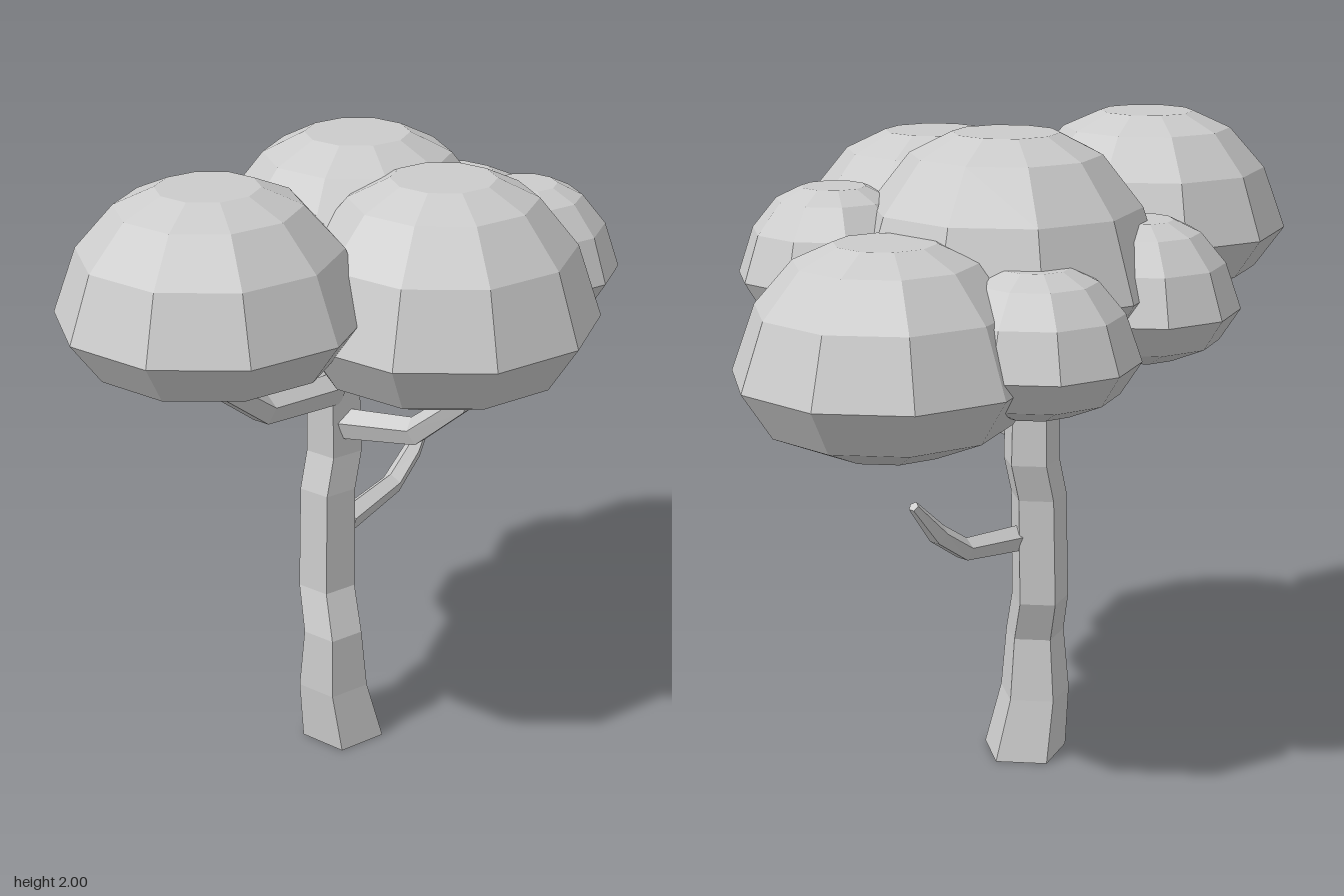
import * as THREE from 'three';

const material = new THREE.MeshStandardMaterial({ color: 0xcccccc, flatShading: true });

// Five-sided tapered limb through stations [x, y, z, radius].
// Level limbs keep every ring horizontal; others turn rings along the path.
function limb(name, stations, level = false) {
  const sides = 5;
  const centres = stations.map(([x, y, z]) => new THREE.Vector3(x, y, z));
  const last = centres.length - 1;
  const positions = [];
  const index = [];
  const ref = level ? new THREE.Vector3(1, 0, 0) : new THREE.Vector3(0, 1, 0);
  centres.forEach((c, i) => {
    const t = level
      ? new THREE.Vector3(0, 1, 0)
      : centres[Math.min(i + 1, last)].clone().sub(centres[Math.max(i - 1, 0)]).normalize();
    const u = ref.clone().addScaledVector(t, -ref.dot(t)).normalize();
    const v = t.clone().cross(u);
    for (let j = 0; j < sides; j++) {
      const a = (j / sides) * Math.PI * 2;
      const p = c.clone()
        .addScaledVector(u, Math.cos(a) * stations[i][3])
        .addScaledVector(v, Math.sin(a) * stations[i][3]);
      positions.push(p.x, p.y, p.z);
    }
  });
  for (let i = 0; i < last; i++) {
    for (let j = 0; j < sides; j++) {
      const k = (j + 1) % sides;
      const a = i * sides + j, b = i * sides + k;
      index.push(a, b, b + sides, a, b + sides, a + sides);
    }
  }
  // End caps
  for (let j = 1; j < sides - 1; j++) {
    const e = last * sides;
    index.push(0, j + 1, j, e, e + j, e + j + 1);
  }
  const geometry = new THREE.BufferGeometry();
  geometry.setAttribute('position', new THREE.Float32BufferAttribute(positions, 3));
  geometry.setIndex(index);
  geometry.computeVertexNormals();
  const mesh = new THREE.Mesh(geometry, material);
  mesh.name = name;
  return mesh;
}

// Ten-sided flat-topped foliage dome: widest at y, rising by up, dropping by down.
function foliage(name, x, y, z, radius, up, down) {
  const profile = [
    [0, -down], [0.42, -down], [0.8, -0.65 * down], [1, 0],
    [0.84, 0.52 * up], [0.59, 0.86 * up], [0.33, up], [0, up],
  ].map(([r, h]) => new THREE.Vector2(r * radius, h));
  const mesh = new THREE.Mesh(new THREE.LatheGeometry(profile, 10), material);
  mesh.position.set(x, y, z);
  mesh.name = name;
  return mesh;
}

export function createModel() {
  const tree = new THREE.Group();
  tree.name = 'tree';

  // Crooked trunk
  tree.add(limb('trunk', [
    [-0.045, 0, -0.1, 0.137],
    [-0.075, 0.2, -0.115, 0.115],
    [-0.08, 0.4, -0.11, 0.096],
    [-0.045, 0.54, -0.16, 0.093],
    [-0.035, 0.88, -0.16, 0.09],
    [0, 1.0, -0.16, 0.09],
    [-0.015, 1.5, -0.15, 0.08],
  ], true));

  // Branches
  tree.add(limb('bareBranch', [
    [0.02, 0.745, -0.13, 0.042],
    [0.27, 0.775, -0.13, 0.036],
    [0.38, 0.85, -0.13, 0.033],
    [0.485, 0.965, -0.13, 0.016],
  ]));
  tree.add(limb('rightBranch', [
    [-0.04, 1.22, -0.13, 0.052],
    [-0.375, 1.27, -0.13, 0.048],
    [-0.55, 1.4, -0.13, 0.042],
    [-0.64, 1.55, -0.13, 0.035],
  ]));
  tree.add(limb('frontBranch', [
    [-0.01, 1.1, -0.1, 0.05],
    [-0.01, 1.145, 0.16, 0.045],
    [-0.01, 1.28, 0.32, 0.038],
    [-0.01, 1.42, 0.37, 0.035],
  ]));

  // Foliage clumps
  tree.add(
    foliage('centreFoliage', 0.085, 1.56, -0.13, 0.475, 0.44, 0.24),
    foliage('frontFoliage', -0.03, 1.55, 0.26, 0.46, 0.41, 0.22),
    foliage('rightFoliage', -0.583, 1.64, -0.13, 0.44, 0.36, 0.19),
    foliage('leftFoliage', 0.583, 1.38, -0.13, 0.44, 0.37, 0.21),
    foliage('smallFrontFoliage', 0.395, 1.58, 0.265, 0.29, 0.26, 0.145),
    foliage('smallBackRightFoliage', -0.166, 1.49, -0.43, 0.3, 0.26, 0.145),
    foliage('smallBackLeftFoliage', 0.305, 1.42, -0.43, 0.3, 0.26, 0.145),
  );

  return tree;
}
